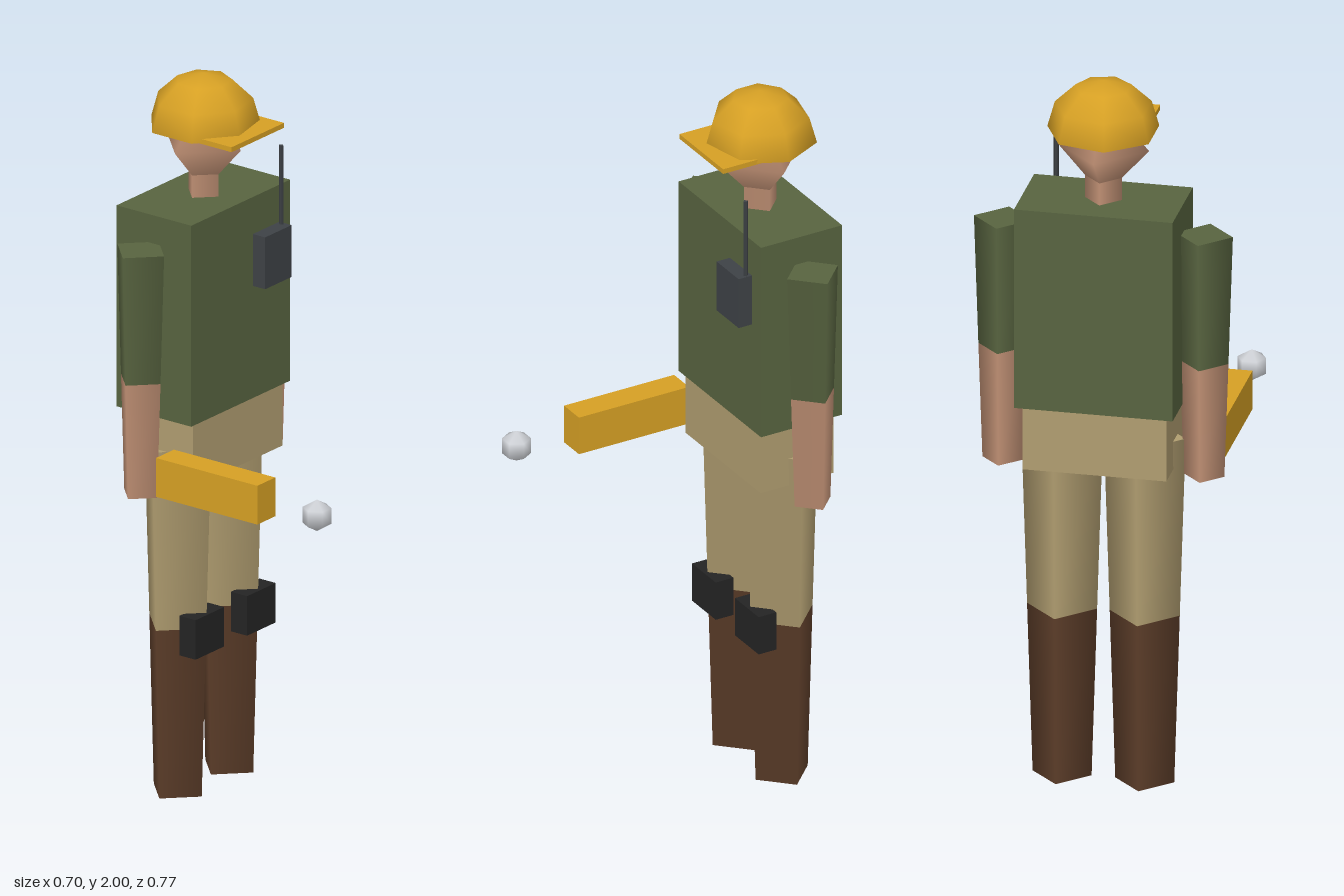
import * as THREE from 'three';

const mat = (name, color) => {
  const m = new THREE.MeshStandardMaterial({ color });
  m.name = name;
  return m;
};

export function createModel() {
  const model = new THREE.Group();
  model.name = 'worker';
  const olive = mat('olive shirt', 0x586440);
  const khaki = mat('khaki trousers', 0xb09d70);
  const brown = mat('brown boots', 0x5c3d29);
  const skin = mat('skin', 0xc09074);
  const yellow = mat('yellow', 0xd6a024);
  const black = mat('black pads', 0x242424);
  const grey = mat('grey radio', 0x3e4246);
  const white = mat('pale ball', 0xd2d5da);
  const Z = -0.238; // body centre line

  const add = (name, geometry, material, x, y, z) => {
    const mesh = new THREE.Mesh(geometry, material);
    mesh.name = name;
    mesh.position.set(x, y, z);
    model.add(mesh);
    return mesh;
  };
  // Box given by its extents on each axis
  const box = (name, material, [x0, x1], [y0, y1], [z0, z1]) =>
    add(name, new THREE.BoxGeometry(x1 - x0, y1 - y0, z1 - z0), material,
      (x0 + x1) / 2, (y0 + y1) / 2, (z0 + z1) / 2);
  // Four-sided tapered post between two heights
  const post = (name, material, x, z, y0, r0, y1, r1) =>
    add(name, new THREE.CylinderGeometry(r1, r0, y1 - y0, 4), material, x, (y0 + y1) / 2, z);

  // Trunk
  box('torso', olive, [-0.215, 0.215], [1.09, 1.66], [-0.363, -0.114]);
  box('hips', khaki, [-0.195, 0.195], [0.91, 1.09], [-0.349, -0.124]);

  // Limbs
  for (const s of [-1, 1]) {
    const side = s > 0 ? 'left' : 'right';
    post(side + 'Boot', brown, s * 0.112, Z, 0, 0.08, 0.48, 0.095);
    post(side + 'TrouserLeg', khaki, s * 0.112, Z, 0.48, 0.095, 0.99, 0.111);
    box(side + 'KneePad', black, [s * 0.112 - 0.062, s * 0.112 + 0.062], [0.413, 0.525], [-0.185, -0.131]);
    post(side + 'Forearm', skin, s * 0.273, Z, 0.89, 0.055, 1.215, 0.066);
    post(side + 'Sleeve', olive, s * 0.273, Z, 1.215, 0.066, 1.58, 0.078);
  }

  // Neck and head
  post('neck', skin, 0, Z, 1.65, 0.05, 1.74, 0.05);
  const head = add('head', new THREE.SphereGeometry(0.124, 4, 2), skin, 0, 1.807, Z);
  head.scale.y = 1.13;

  // Helmet: seven-sided dome with closed underside and a visor
  const dome = add('helmetDome',
    new THREE.SphereGeometry(0.152, 7, 3, 0, Math.PI * 2, 0, Math.PI / 2), yellow, 0, 1.855, Z);
  dome.rotation.y = Math.PI;
  dome.scale.y = 0.145 / 0.152;
  const under = add('helmetUnderside', new THREE.CircleGeometry(0.152, 7), yellow, 0, 1.855, Z);
  under.rotation.x = Math.PI / 2;
  box('helmetVisor', yellow, [-0.114, 0.114], [1.851, 1.865], [-0.2, -0.057]);

  // Chest radio
  box('radio', grey, [0.053, 0.168], [1.408, 1.555], [-0.12, -0.073]);
  post('radioAntenna', grey, 0.158, -0.1, 1.55, 0.007, 1.778, 0.007);

  // Held bar and the ball ahead of it
  box('heldBar', yellow, [-0.312, -0.234], [0.911, 1.021], [-0.157, 0.181]);
  add('ball', new THREE.SphereGeometry(0.0445, 6, 3), white, -0.273, 0.965, 0.35);

  return model;
}
